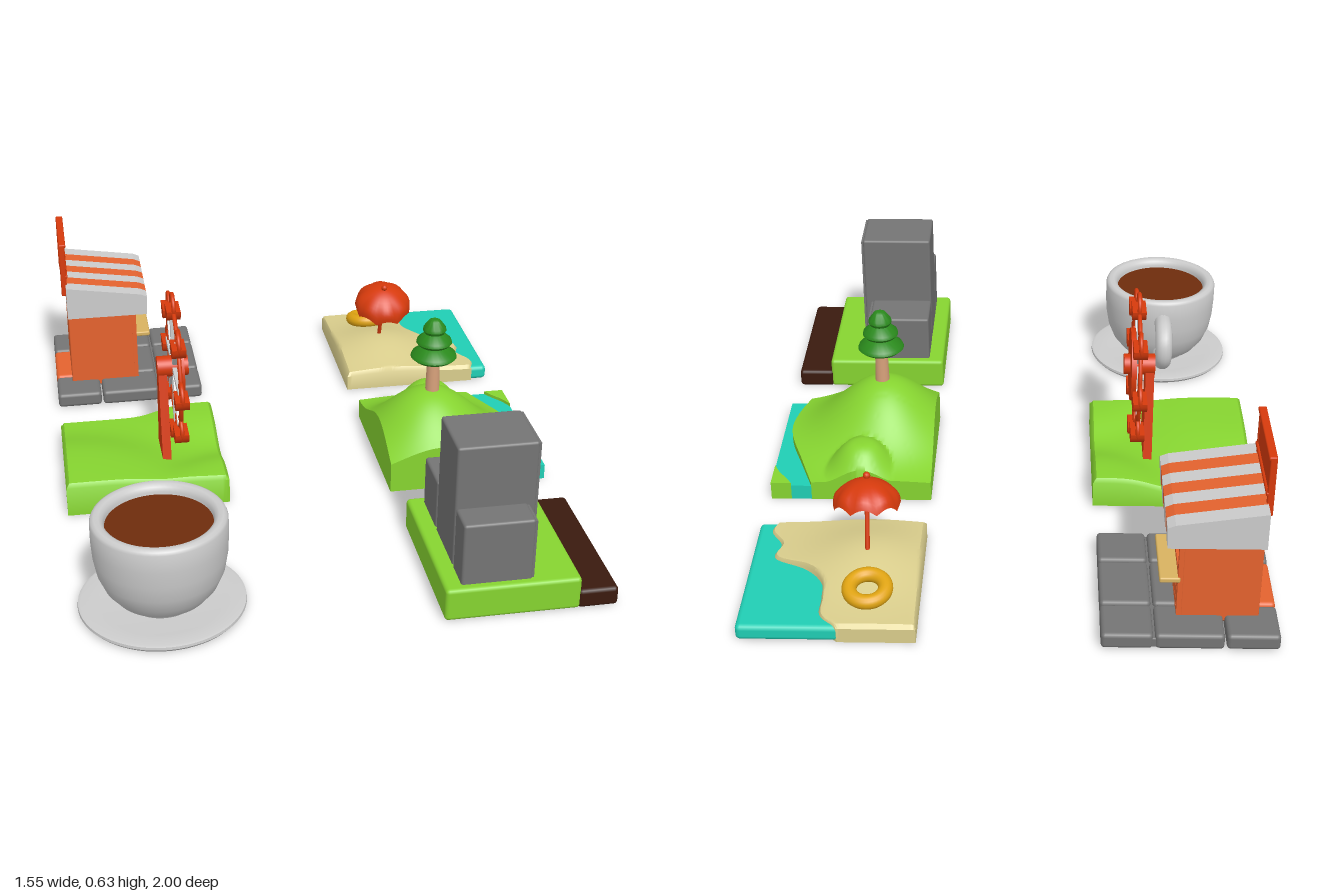
import * as THREE from 'three';
import { toCreasedNormals } from 'three/addons/utils/BufferGeometryUtils.js';
import { RoundedBoxGeometry } from 'three/addons/geometries/RoundedBoxGeometry.js';

const C = {
  grey: 0xcccccc, stone: 0x747474, green: 0x86d430, leaf: 0x2a8a1c, water: 0x20ceb4, sand: 0xd9cd8c,
  road: 0x3a1a0e, coffee: 0x6e2c0c, yellow: 0xe0a412, red: 0xd63a0c, orange: 0xe4622e, wood: 0xd6a07a, shelf: 0xd8b260,
};

function part(parent, name, geo, color, x = 0, y = 0, z = 0) {
  const m = new THREE.Mesh(geo, new THREE.MeshStandardMaterial({ color }));
  m.name = name;
  m.position.set(x, y, z);
  parent.add(m);
  return m;
}
function group(parent, name, x = 0, y = 0, z = 0) {
  const g = new THREE.Group();
  g.name = name;
  g.position.set(x, y, z);
  parent.add(g);
  return g;
}
// Rounded box given by its limits on each axis
function block(parent, name, color, [x0, x1], [y0, y1], [z0, z1], r = 0.008) {
  const geo = new RoundedBoxGeometry(x1 - x0, y1 - y0, z1 - z0, 2, r);
  return part(parent, name, geo, color, (x0 + x1) / 2, (y0 + y1) / 2, (z0 + z1) / 2);
}
const lathe = (pts, n = 48) => toCreasedNormals(new THREE.LatheGeometry(pts.map(p => new THREE.Vector2(...p)), n), 0.7);
const polygon = pts => new THREE.Shape(pts.map(p => new THREE.Vector2(...p)));
const extrude = (shape, depth) => new THREE.ExtrudeGeometry(shape, { depth, bevelEnabled: false, curveSegments: 6 });
// Smooth outline x(z)
function edge(zs, xs) {
  const f = new THREE.CubicInterpolant(zs, xs, 1);
  return z => f.evaluate(z)[0];
}
// Solid ground between two outlines x0(z), x1(z), with a height rule and softened rim
function ground(parent, name, color, x0, x1, [z0, z1], y0, height, rim = 0) {
  const geo = new THREE.BoxGeometry(1, 1, 1, 48, 1, 48), p = geo.attributes.position;
  for (let i = 0; i < p.count; i++) {
    const z = z0 + (p.getZ(i) + 0.5) * (z1 - z0), a = x0(z), b = x1(z);
    const x = a + (p.getX(i) + 0.5) * (b - a);
    const k = rim ? Math.max(0, 1 - Math.min(x - a, b - x, z - z0, z1 - z) / rim) : 0;
    const drop = rim * (1 - Math.sqrt(Math.max(0, 1 - k * k)));
    p.setXYZ(i, x, p.getY(i) > 0 ? height(x, z) - drop : y0, z);
  }
  return part(parent, name, toCreasedNormals(geo, 0.7), color);
}
const bump = (x, z, cx, cz, s, e = 2) => Math.exp(-Math.pow(Math.hypot(x - cx, z - cz) / s, e));
// Wall panel facing +x with rounded openings [z, y, width, height]
function facade(parent, name, color, x, [y0, y1], [z0, z1], openings, depth, r = 0.006) {
  const shape = polygon([[-z1, y0], [-z0, y0], [-z0, y1], [-z1, y1]]);
  for (const [z, y, w, h] of openings) {
    const a = -z - w / 2, b = -z + w / 2, c = y - h / 2, d = y + h / 2, hole = new THREE.Path();
    hole.moveTo(a + r, c).lineTo(b - r, c).quadraticCurveTo(b, c, b, c + r).lineTo(b, d - r).quadraticCurveTo(b, d, b - r, d);
    hole.lineTo(a + r, d).quadraticCurveTo(a, d, a, d - r).lineTo(a, c + r).quadraticCurveTo(a, c, a + r, c);
    shape.holes.push(hole);
  }
  return part(parent, name, extrude(shape, depth).rotateY(Math.PI / 2), color, x);
}

function cup(root) {
  const g = group(root, 'cupAndSaucer', -0.525, 0, 0.755);
  part(g, 'saucer', lathe([[0, 0], [0.236, 0], [0.245, 0.01], [0.244, 0.018], [0.236, 0.021], [0.18, 0.014], [0, 0.014]], 64), C.grey);
  part(g, 'cup', lathe([[0, 0.015], [0.1, 0.015], [0.105, 0.024], [0.137, 0.045], [0.166, 0.082], [0.185, 0.128], [0.194, 0.18], [0.197, 0.23],
    [0.197, 0.288], [0.193, 0.297], [0.184, 0.302], [0.17, 0.301], [0.16, 0.294], [0.156, 0.28], [0.153, 0.24], [0, 0.24]], 64), C.grey);
  part(g, 'coffee', new THREE.CylinderGeometry(0.156, 0.15, 0.02, 48), C.coffee, 0, 0.262, 0);
  const path = new THREE.CatmullRomCurve3([[0.225, -0.18], [0.222, -0.25], [0.19, -0.29], [0.14, -0.293], [0.1, -0.255], [0.085, -0.16]]
    .map(([y, z]) => new THREE.Vector3(0, y, z)));
  part(g, 'handle', new THREE.TubeGeometry(path, 32, 0.03, 14), C.grey);
}

function city(root) {
  const g = group(root, 'cityTile');
  block(g, 'lawn', C.green, [0.26, 0.662], [0, 0.104], [0.472, 0.985], 0.012);
  block(g, 'road', C.road, [0.655, 0.775], [0, 0.06], [0.472, 0.985], 0.012);
  // x limit, height, z limits, window columns, rows
  const towers = [[0.555, 0.49, [0.658, 0.855], 3, 5], [0.525, 0.3, [0.862, 0.96], 2, 4], [0.525, 0.26, [0.497, 0.651], 3, 3]];
  for (const [x, h, [z0, z1], cols, rows] of towers) {
    const b = group(g, 'building'), openings = [], cw = (z1 - z0 - 0.03) / cols, rh = (h - 0.13) / rows;
    block(b, 'walls', C.stone, [0.31, x - 0.006], [0.09, h], [z0, z1]);
    for (let i = 0; i < cols; i++) for (let j = 0; j < rows; j++)
      openings.push([z0 + 0.015 + (i + 0.5) * cw, 0.115 + (j + 0.5) * rh, cw * 0.72, rh * 0.68]);
    facade(b, 'windowFront', C.stone, x - 0.008, [0.1, h - 0.006], [z0 + 0.005, z1 - 0.005], openings, 0.008);
  }
}

function hill(root) {
  const g = group(root, 'hillTile'), left = () => 0.26, right = () => 0.775;
  const shore = edge([-0.255, -0.13, 0, 0.07, 0.15, 0.26], [0.645, 0.69, 0.735, 0.745, 0.735, 0.705]);
  const far = edge([-0.255, -0.23, -0.19, -0.15], [0.71, 0.725, 0.755, 0.775]);
  const bank = z => z < -0.15 ? far(z) : 0.775;
  ground(g, 'hill', C.green, left, shore, [-0.255, 0.26], 0, (x, z) =>
    Math.max(0.06 + 0.205 * bump(x, z, 0.43, 0.07, 0.205, 2.2), 0.06 + 0.105 * bump(x, z, 0.485, -0.165, 0.1, 3)));
  ground(g, 'river', C.water, shore, bank, [-0.255, 0.26], 0, () => 0.05);
  ground(g, 'farBank', C.green, far, right, [-0.255, -0.15], 0, () => 0.06);
  // Tree
  const t = group(g, 'tree', 0.435, 0, 0.07);
  part(t, 'trunk', new THREE.CylinderGeometry(0.02, 0.024, 0.16, 16), C.wood, 0, 0.31, 0);
  [[0.075, 0.375], [0.058, 0.425], [0.038, 0.468]].forEach(([r, y]) =>
    part(t, 'foliage', lathe([[0, 0], [r * 0.85, 0], [r, 0.01], [r * 0.95, 0.02], [r * 0.5, 0.043], [r * 0.25, 0.048], [0, 0.048]], 28), C.leaf, 0, y, 0));
}

function beach(root) {
  const g = group(root, 'beachTile');
  block(g, 'sea', C.water, [0.26, 0.775], [0, 0.05], [-0.978, -0.462], 0.015);
  const shore = edge([-0.978, -0.93, -0.85, -0.77, -0.7, -0.655, -0.58, -0.51, -0.462], [0.485, 0.535, 0.54, 0.55, 0.61, 0.7, 0.695, 0.735, 0.72]);
  ground(g, 'sand', C.sand, () => 0.259, shore, [-0.979, -0.461], -0.0005,
    (x, z) => 0.057 + 0.055 * bump(x, z, 0.42, -0.66, 0.17), 0.012);
  // Parasol, leaning to the front
  const u = group(g, 'parasol', 0.42, 0.09, -0.685);
  u.rotation.x = 0.31;
  part(u, 'pole', new THREE.CylinderGeometry(0.007, 0.007, 0.25, 12), C.red, 0, 0.125, 0);
  part(u, 'tip', new THREE.SphereGeometry(0.011, 12, 8), C.red, 0, 0.247, 0);
  const geo = new THREE.SphereGeometry(0.1, 48, 10, 0, Math.PI * 2, 0, Math.PI / 2), p = geo.attributes.position;
  for (let i = 0; i < p.count; i++) {
    const x = p.getX(i), z = p.getZ(i), r = Math.hypot(x, z) / 0.1, lobe = Math.abs(Math.cos(4 * Math.atan2(z, x)));
    p.setY(i, p.getY(i) * 0.9 + 0.018 * lobe * r ** 6);
  }
  geo.computeVertexNormals();
  part(u, 'canopy', geo, C.red, 0, 0.15, 0).material.side = THREE.DoubleSide;
  // Swim ring
  const ring = part(g, 'swimRing', new THREE.TorusGeometry(0.053, 0.022, 16, 40).rotateX(Math.PI / 2), C.yellow, 0.405, 0.095, -0.85);
  ring.rotation.x = -0.2;
}

function fair(root) {
  const g = group(root, 'fairTile');
  ground(g, 'meadow', C.green, () => -0.775, () => -0.26, [-0.277, 0.235], 0, (x, z) =>
    0.06 + 0.052 * bump(x, z, -0.775, 0.235, 0.36, 5) + 0.04 * bump(x, z, -0.26, -0.277, 0.2, 4) + 0.035 * bump(x, z, -0.26, 0.235, 0.18, 4), 0.014);
  const w = group(g, 'ferrisWheel', -0.4, 0.376, -0.015);
  const disc = (name, r, x0, x1, color) => part(w, name, new THREE.CylinderGeometry(r, r, x1 - x0, 40).rotateZ(Math.PI / 2), color, (x0 + x1) / 2);
  disc('wheelDisc', 0.118, 0.006, 0.022, C.red);
  disc('frontHub', 0.033, 0.02, 0.042, C.red);
  disc('rearHub', 0.034, -0.058, 0.01, C.red);
  part(w, 'rim', new THREE.TorusGeometry(0.2, 0.007, 10, 72).rotateY(Math.PI / 2), C.red);
  // Rear support
  part(w, 'support', extrude(polygon([[-0.085, -0.325], [0.085, -0.325], [0.022, 0.02], [-0.022, 0.02]]), 0.028).rotateY(Math.PI / 2), C.red, -0.056);
  for (let i = 0; i < 8; i++) {
    const a = i * Math.PI / 4, c = Math.cos(a), s = Math.sin(a);
    const spoke = part(w, 'spoke', new THREE.BoxGeometry(0.014, 0.19, 0.018), C.grey, -0.003, c * 0.105, s * 0.105);
    spoke.rotation.x = a;
    const gon = group(w, 'gondola', 0, c * 0.212, s * 0.212);
    part(gon, 'hoop', new THREE.TorusGeometry(0.037, 0.007, 10, 28).rotateY(Math.PI / 2), C.red);
    const half = new THREE.Shape().absarc(0, 0, 0.042, Math.PI, Math.PI * 2, false);
    part(gon, 'seat', toCreasedNormals(extrude(half, 0.044).rotateY(Math.PI / 2), 0.6), C.red, -0.022, -0.004);
  }
}

function kiosk(root) {
  const g = group(root, 'kioskTile');
  const xs = [-0.778, -0.62, -0.417, -0.263], zs = [-0.998, -0.848, -0.638, -0.488];
  block(g, 'bedding', C.stone, [-0.61, -0.27], [0.004, 0.035], [-0.99, -0.495], 0.004);
  for (let i = 0; i < 3; i++) for (let j = 0; j < 3; j++)
    block(g, 'pavingStone', i === 0 && j === 1 ? C.orange : C.stone,
      [xs[i] + 0.003, xs[i + 1] - 0.003], [0, 0.05], [zs[j] + 0.003, zs[j + 1] - 0.003], 0.012);
  // Hut with plank front, serving window and door
  block(g, 'hut', C.orange, [-0.72, -0.495], [0.03, 0.33], [-0.9, -0.595], 0.004);
  const openings = [[-0.795, 0.25, 0.17, 0.1], [-0.645, 0.18, 0.065, 0.23]];
  for (let i = 0; i < 5; i++) openings.push([-0.865 + i * 0.035, 0.108, 0.006, 0.1]);
  facade(g, 'hutFront', C.orange, -0.497, [0.045, 0.33], [-0.9, -0.595], openings, 0.014, 0.002);
  block(g, 'counter', C.shelf, [-0.49, -0.43], [0.165, 0.182], [-0.905, -0.685], 0.005);
  // Striped awning
  for (let i = 0; i < 7; i++) {
    const z = -0.937 + i * 0.053, odd = i % 2, y = odd ? 0.318 : 0.308;
    part(g, 'awningStripe', extrude(polygon([[-0.722, y], [-0.445, y], [-0.442, 0.375], [-0.465, 0.385], [-0.722, 0.424]]), 0.053),
      odd ? C.orange : C.grey, 0, 0, z);
  }
  // Sign board on posts
  block(g, 'signBoard', C.red, [-0.732, -0.72], [0.452, 0.565], [-0.87, -0.615], 0.004);
  for (const y of [0.452, 0.567]) block(g, 'signRail', C.red, [-0.737, -0.713], [y - 0.006, y + 0.006], [-0.88, -0.605], 0.004);
  for (const z of [-0.873, -0.612]) block(g, 'signPost', C.red, [-0.737, -0.717], [0.38, 0.572], [z - 0.007, z + 0.007], 0.004);
}

export function createModel() {
  const root = new THREE.Group();
  root.name = 'sixPlaces';
  for (const build of [cup, city, hill, beach, fair, kiosk]) build(root);
  return root;
}
